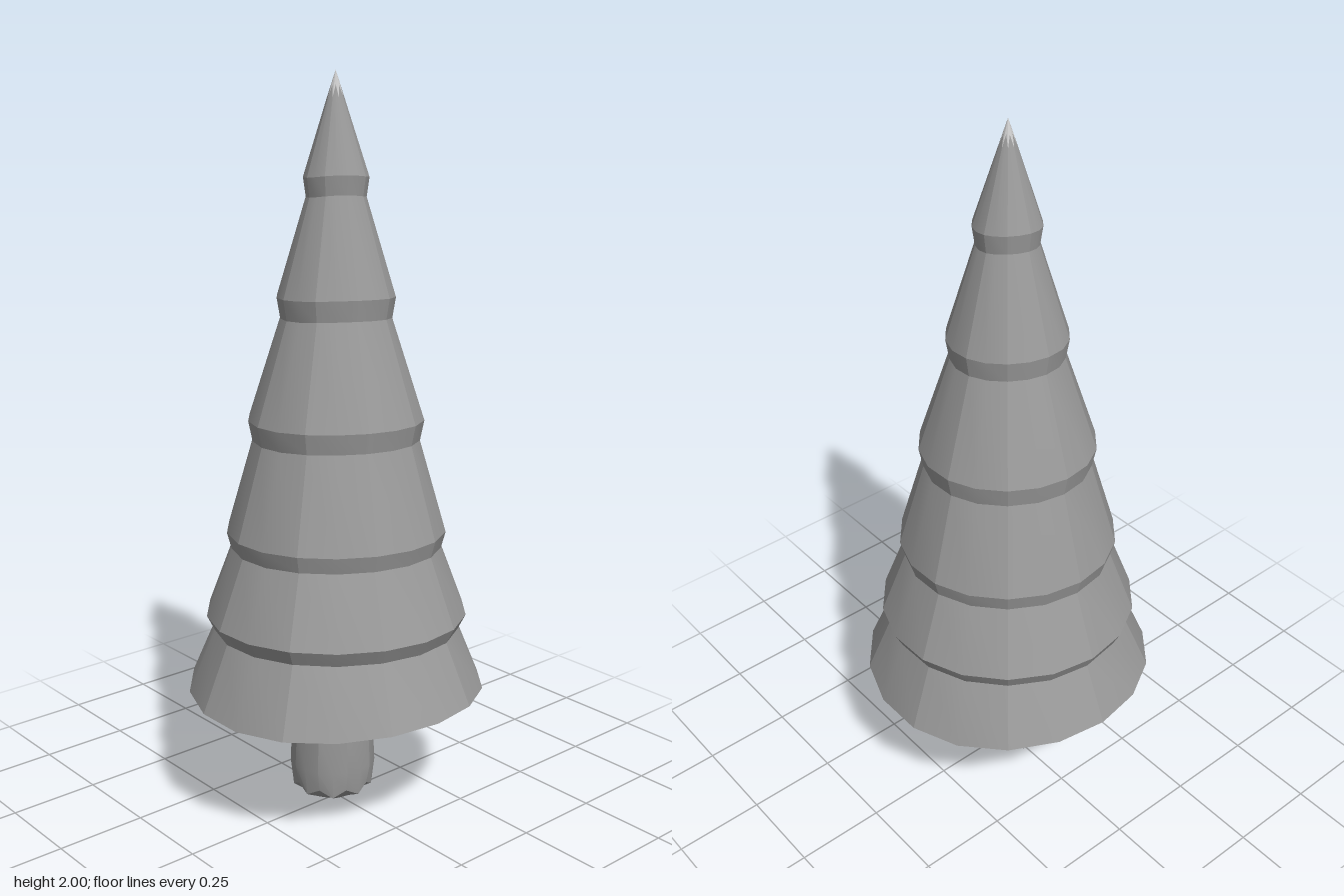
import * as THREE from 'three';
import { mergeGeometries, toCreasedNormals } from 'three/addons/utils/BufferGeometryUtils.js';

const SIDES = 18;

// Skin stacked rings, listed from the top down; radius 0 closes the surface.
// ring: { y, r, x, z, wave }, where wave(angle, side) gives { dr, dy } offsets.
// Sides are smoothed in pairs, so nine broad panels meet at sharp edges.
function loft(rings, crease) {
  const panels = [];
  for (let start = 1; start < SIDES; start += 2) {
    const positions = [];
    const index = [];
    rings.forEach(({ y, r, x = 0, z = 0, wave }, i) => {
      for (let s = 0; s < 3; s++) {
        const j = (start + s) % SIDES;
        const a = (j / SIDES) * Math.PI * 2;
        const { dr = 0, dy = 0 } = wave ? wave(a, j) : {};
        positions.push(x + Math.sin(a) * (r + dr), y + dy, z + Math.cos(a) * (r + dr));
      }
      if (i === 0) return;
      for (let s = 0; s < 2; s++) {
        const b = i * 3 + s, c = b + 1;
        const a = b - 3, d = c - 3;
        if (r > 0) index.push(a, b, c);
        else index.push(a, b, d);
        if (r > 0 && rings[i - 1].r > 0) index.push(a, c, d);
      }
    });
    const geometry = new THREE.BufferGeometry();
    geometry.setAttribute('position', new THREE.Float32BufferAttribute(positions, 3));
    geometry.setIndex(index);
    panels.push(toCreasedNormals(geometry, crease));
  }
  return mergeGeometries(panels);
}

export function createModel() {
  const tree = new THREE.Group();
  tree.name = 'firTree';
  const grey = new THREE.MeshStandardMaterial({ color: 0x9a9a9a });
  const pale = new THREE.MeshStandardMaterial({ color: 0xe0e0e0 });
  const addPart = (name, rings, crease, material) => {
    const mesh = new THREE.Mesh(loft(rings, crease), material);
    mesh.name = name;
    tree.add(mesh);
  };

  // Pale tip with a nine-pointed lower edge that lies on the top cone
  const apex = { y: 2, r: 0, x: 0.008, z: -0.012 };
  const star = (a, j) => (j % 2 ? { dr: 0.005, dy: -0.015 } : { dr: -0.005, dy: 0.015 });
  const tipEdge = { y: 1.949, r: 0.017, x: 0.008, z: -0.012, wave: star };
  addPart('paleTip', [apex, tipEdge], 0.42, pale);

  // Foliage: each tier flares out to a rim, then tucks in under it
  const tiers = [
    // rim height, rim radius, tuck height, tuck radius
    [1.74, 0.086, 1.69, 0.079],
    [1.435, 0.157, 1.38, 0.148],
    [1.11, 0.236, 1.055, 0.225],
    [0.805, 0.298, 0.76, 0.286],
    [0.572, 0.357, 0.53, 0.336],
  ];
  const rings = [tipEdge];
  for (const [rimY, rimR, tuckY, tuckR] of tiers) {
    // The trunk line leans very slightly towards the tip
    const x = 0.002 + 0.006 * (rimY - 0.35) / 1.4;
    const z = -0.003 - 0.007 * (rimY - 0.35) / 1.4;
    const wave = (a) => ({ dy: 0.005 * Math.cos(2 * a + 1) });
    rings.push({ y: rimY, r: rimR, x, z, wave }, { y: tuckY, r: tuckR, x, z, wave });
  }

  // Wavy bottom hem: high at front and back, low at the sides
  const hem = (a) => ({ dy: 0.011 * Math.cos(2 * a) });
  const lip = (a) => ({ dy: 0.011 * Math.cos(2 * a) - 0.007 * (1 + Math.cos(a + Math.PI * 0.75)) });
  rings.push(
    { y: 0.356, r: 0.408, z: -0.002, wave: hem },
    { y: 0.35, r: 0.36, wave: lip },
    { y: 0.36, r: 0.2 },
    { y: 0.365, r: 0 },
  );
  addPart('foliage', rings, 0.42, grey);

  // Trunk: slight waist, rounded foot with a scalloped lower edge
  const scallop = (a, j) => (j % 2 ? { dr: -0.002, dy: 0.02 } : {});
  const center = { x: -0.004, z: -0.012 };
  addPart('trunk', [
    { y: 0.4, r: 0.123 },
    { y: 0.34, r: 0.121 },
    { y: 0.22, r: 0.115 },
    { y: 0.12, r: 0.12 },
    { y: 0.042, r: 0.111, wave: scallop },
    { y: 0.022, r: 0.07 },
    { y: 0, r: 0 },
  ].map((ring) => ({ ...center, ...ring })), 0.5, grey);

  return tree;
}
